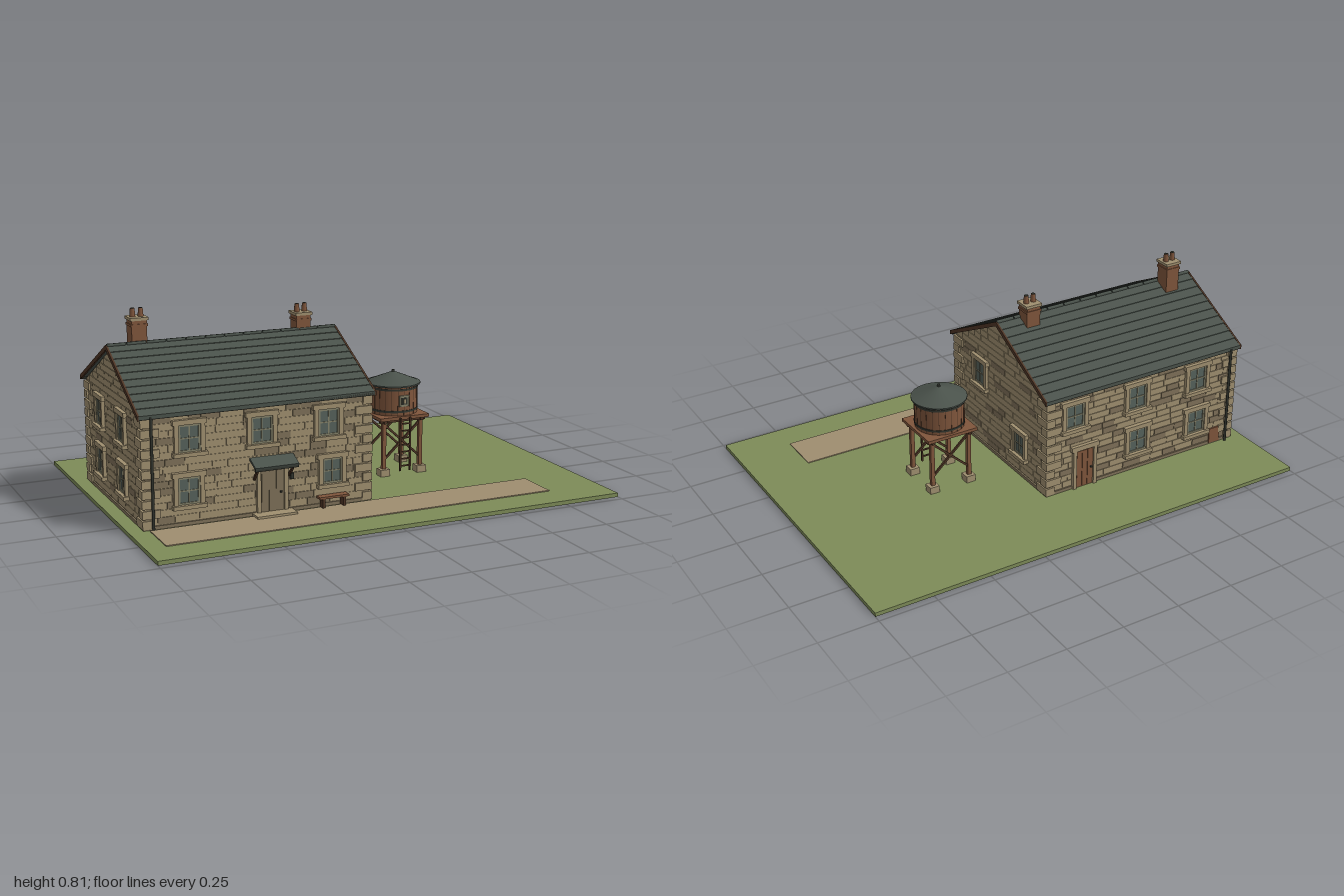
import * as THREE from 'three';

const mat = (name, color) => {
  const m = new THREE.MeshStandardMaterial({ color });
  m.name = name;
  return m;
};

export function createModel() {
  const grass = mat('grass', 0x7d8b58), gravel = mat('gravel', 0x9f8e70);
  const stone = mat('stone', 0xa09070), darkStone = mat('dark stone', 0x7f7159);
  const slate = mat('slate', 0x4a524b), brown = mat('brick and timber', 0x80563c);
  const darkWood = mat('dark wood', 0x4f3626), glass = mat('glass', 0x56625c);
  const iron = mat('iron', 0x33362f), trim = mat('window trim', 0x85826a);

  const root = new THREE.Group();
  const group = (name, parent = root, x = 0, y = 0, z = 0, ry = 0) => {
    const g = new THREE.Group();
    g.name = name;
    g.position.set(x, y, z);
    g.rotation.y = ry;
    parent.add(g);
    return g;
  };
  const add = (parent, name, geo, material, x = 0, y = 0, z = 0) => {
    const m = new THREE.Mesh(geo, material);
    m.name = name;
    m.position.set(x, y, z);
    parent.add(m);
    return m;
  };
  const box = (p, name, m, w, h, d, x, y, z) => add(p, name, new THREE.BoxGeometry(w, h, d), m, x, y, z);
  const cyl = (p, name, m, r1, r2, h, x, y, z, n = 12) =>
    add(p, name, new THREE.CylinderGeometry(r1, r2, h, n), m, x, y, z);
  // square bar between two points
  const bar = (p, name, m, a, b, t) => {
    const A = new THREE.Vector3(...a), B = new THREE.Vector3(...b);
    const o = box(p, name, m, t, A.distanceTo(B), t, 0, 0, 0);
    o.position.copy(A).lerp(B, 0.5);
    o.quaternion.setFromUnitVectors(new THREE.Vector3(0, 1, 0), B.sub(A).normalize());
    return o;
  };
  let seed = 7;
  const rnd = () => (seed = (seed * 16807) % 2147483647) / 2147483647;

  // Ground and path
  const G = 0.017;
  box(root, 'lawn', grass, 2, G, 1.44, 0, G / 2, 0);
  box(root, 'path', gravel, 1.675, 0.004, 0.19, -0.0825, G + 0.002, 0.485);

  // House walls
  const CX = -0.4575, HX = 0.4775, HZ = 0.37, EAVE = 0.465, APEX = 0.66;
  const house = group('house', root, CX);
  // turn a z-y profile into a solid running along x
  const alongX = (pts, len) => new THREE.ExtrudeGeometry(
    new THREE.Shape(pts.map(p => new THREE.Vector2(...p))), { depth: len, bevelEnabled: false })
    .translate(0, 0, -len / 2).rotateY(Math.PI / 2);
  add(house, 'walls', alongX([[-HZ, G], [HZ, G], [HZ, EAVE], [0, APEX], [-HZ, EAVE]], HX * 2), stone);
  box(house, 'plinth', darkStone, HX * 2 + 0.014, 0.014, HZ * 2 + 0.014, 0, G + 0.007, 0);

  // Wall faces: each local +z points outwards
  const front = group('frontWall', house, 0, 0, HZ, 0);
  const back = group('backWall', house, 0, 0, -HZ, Math.PI);
  const left = group('leftGable', house, HX, 0, 0, Math.PI / 2);
  const right = group('rightGable', house, -HX, 0, 0, -Math.PI / 2);

  // Coursed stonework
  const stonework = (face, half, gable) => {
    const h = 0.0285;
    for (let y = 0.034; y + h < (gable ? APEX - 0.03 : EAVE); y += h) {
      const top = y + h;
      const lim = top > EAVE ? half * (APEX - top) / (APEX - EAVE) : half;
      for (let u = -lim + 0.002; u < lim - 0.02;) {
        const w = Math.min(0.05 + rnd() * 0.07, lim - u);
        const dark = rnd() < (gable ? (y > 0.44 ? 0 : 0.13) : 0.3);
        box(face, 'wallStone', dark ? darkStone : stone, w - 0.002, h - 0.002,
          0.006, u + w / 2, y + h / 2, dark ? 0.001 : 0);
        u += w;
      }
    }
  };
  stonework(front, HX, false);
  stonework(back, HX, false);
  stonework(left, HZ, true);
  stonework(right, HZ, true);

  // Quoins on the four corners
  for (const sx of [-1, 1]) for (const sz of [-1, 1]) for (let i = 0; i < 11; i++) {
    const a = i % 2 ? 0.075 : 0.042, b = i % 2 ? 0.042 : 0.075, o = 0.011;
    box(house, 'quoin', stone, a, 0.033, b,
      sx * (HX + o - a / 2), G + 0.022 + i * 0.04, sz * (HZ + o - b / 2));
  }

  // Windows with stone surrounds
  const addWindow = (face, u, y, w = 0.09, h = 0.11) => {
    const g = group('window', face, u, y);
    box(g, 'glass', glass, w, h, 0.016, 0, 0, 0);
    box(g, 'lintel', stone, w + 0.05, 0.02, 0.03, 0, h / 2 + 0.01, 0.004);
    box(g, 'sill', stone, w + 0.05, 0.016, 0.044, 0, -h / 2 - 0.008, 0.005);
    for (const s of [-1, 1]) {
      box(g, 'jamb', stone, 0.018, h, 0.03, s * (w / 2 + 0.009), 0, 0.002);
      box(g, 'frameSide', trim, 0.008, h, 0.024, s * (w / 2 - 0.004), 0, 0);
      box(g, 'frameRail', trim, w, 0.008, 0.024, 0, s * (h / 2 - 0.004), 0);
    }
    box(g, 'mullion', trim, 0.005, h, 0.022, 0, 0, 0);
    box(g, 'glazingBar', trim, w, 0.005, 0.022, 0, 0, 0);
  };
  const UP = 0.367, LOW = 0.158;
  for (const x of [-0.75, -0.45, -0.163]) addWindow(front, x - CX, UP);
  addWindow(front, -0.755 - CX, LOW);
  addWindow(front, -0.147 - CX, 0.165, 0.085, 0.105);
  for (const x of [-0.107, -0.42, -0.735]) addWindow(back, CX - x, UP);
  for (const x of [-0.43, -0.74]) addWindow(back, CX - x, LOW);
  addWindow(left, -0.155, UP, 0.08);
  addWindow(left, 0.167, 0.17, 0.075, 0.1);
  for (const u of [-0.165, 0.13]) {
    addWindow(right, u, UP, 0.075);
    addWindow(right, u, LOW, 0.075);
  }

  // Doors
  const addDoor = (face, u, w, h, leaf) => {
    const g = group('door', face, u, G);
    box(g, 'doorLeaf', leaf, w, h, 0.018, 0, h / 2, 0);
    for (let i = -1; i <= 1; i++) box(g, 'doorPlank', leaf, w / 3.5, h * 0.94, 0.024, i * w / 3.2, h / 2, 0);
    for (const s of [-1, 1]) box(g, 'doorJamb', stone, 0.016, h, 0.034, s * (w / 2 + 0.008), h / 2, 0);
    box(g, 'doorLintel', stone, w + 0.05, 0.022, 0.036, 0, h + 0.011, 0);
    box(g, 'doorHandle', iron, 0.007, 0.007, 0.012, w * 0.36, h * 0.48, 0.014);
    return g;
  };
  const entrance = addDoor(front, -0.408 - CX, 0.1, 0.185, darkStone);
  box(entrance, 'doorstep', stone, 0.17, 0.013, 0.065, 0, 0.0065, 0.033);
  addDoor(back, CX + 0.16, 0.085, 0.18, brown);
  box(back, 'coalHatch', brown, 0.055, 0.07, 0.02, CX + 0.85, G + 0.04, 0);

  // Door canopy on brackets
  const canopy = box(entrance, 'canopyRoof', slate, 0.185, 0.01, 0.075, 0, 0.222, 0.03);
  canopy.rotation.x = 0.4;
  box(entrance, 'canopyFascia', iron, 0.185, 0.014, 0.006, 0, 0.203, 0.06);
  for (const s of [-1, 1]) bar(entrance, 'canopyBracket', darkWood, [s * 0.075, 0.15, 0.005], [s * 0.075, 0.205, 0.052], 0.009);
  // Wall lantern
  box(front, 'lantern', iron, 0.014, 0.024, 0.016, -0.325 - CX, 0.165, 0.012);

  // Bench
  const bench = group('bench', root, -0.152, G, 0.397);
  box(bench, 'benchSeat', brown, 0.13, 0.009, 0.035, 0, 0.046, 0);
  for (const s of [-1, 1]) box(bench, 'benchLeg', darkWood, 0.012, 0.042, 0.03, s * 0.045, 0.021, 0);

  // Roof in stepped slate courses
  const rise = 0.2, half = 0.39, N = 10, side = [];
  for (let i = 0; i < N; i++) {
    const z0 = half * (1 - i / N), z1 = half * (1 - (i + 1) / N);
    side.push([z0, 0.475 + rise * i / N], [z1, 0.4725 + rise * (i + 1) / N]);
  }
  const mirror = side.slice(0, -1).reverse().map(([z, y]) => [-z, y]);
  add(house, 'slateRoof', alongX([[half, 0.461], ...side, ...mirror, [-half, 0.461], [0, 0.661]], 0.99), slate);
  for (const s of [-1, 1]) {
    add(house, 'bargeBoard', alongX([[half, 0.456], [half, 0.475], [0, 0.676], [-half, 0.475],
      [-half, 0.456], [0, 0.656]], 0.008), darkWood, s * 0.497);
    box(house, 'gutter', iron, 0.99, 0.012, 0.012, 0, 0.464, s * 0.384);
    cyl(house, 'downpipe', iron, 0.006, 0.006, 0.45, -0.447, 0.242, s * 0.388, 8);
  }
  for (let i = 0; i < 12; i++) {
    const t = cyl(house, 'ridgeTile', slate, 0.008, 0.008, 0.079, -0.4565 + i * 0.083, 0.673, 0, 6);
    t.rotation.z = Math.PI / 2;
  }

  // Chimneys
  const chimney = (x, z, top) => {
    const g = group('chimney', root, x, 0, z);
    box(g, 'stack', brown, 0.064, top - 0.6, 0.066, 0, (top + 0.6) / 2, 0);
    box(g, 'lowerBand', brown, 0.07, 0.01, 0.072, 0, top - 0.025, 0);
    box(g, 'cap', stone, 0.076, 0.012, 0.076, 0, top, 0);
    for (const s of [-1, 1]) {
      cyl(g, 'pot', brown, 0.0095, 0.012, 0.035, s * 0.017, top + 0.022, 0);
      cyl(g, 'potMouth', iron, 0.008, 0.008, 0.002, s * 0.017, top + 0.04, 0);
    }
  };
  chimney(-0.815, -0.037, 0.768);
  chimney(-0.105, -0.028, 0.736);

  // Water tower
  const tower = group('waterTower', root, 0.318);
  const L = 0.087;
  for (const sx of [-1, 1]) for (const sz of [-1, 1]) {
    box(tower, 'footing', stone, 0.043, 0.03, 0.043, sx * L, G + 0.015, sz * L);
    box(tower, 'leg', brown, 0.017, 0.215, 0.017, sx * L, 0.155, sz * L);
  }
  for (const s of [-1, 1]) {
    box(tower, 'beam', darkWood, 0.215, 0.014, 0.014, 0, 0.256, s * L);
    box(tower, 'sideBeam', darkWood, 0.014, 0.014, 0.215, s * L, 0.256, 0);
    for (const d of [-1, 1])
      bar(tower, 'brace', darkWood, [-d * L, 0.085, s * L], [d * L, 0.245, s * L], 0.009);
  }
  box(tower, 'platform', brown, 0.232, 0.014, 0.232, 0, 0.27, 0);
  cyl(tower, 'tank', brown, 0.105, 0.105, 0.133, 0, 0.343, 0, 24);
  for (const y of [0.295, 0.39]) cyl(tower, 'tankHoop', iron, 0.1075, 0.1075, 0.009, 0, y, 0, 24);
  for (let i = 0; i < 24; i++) {
    const a = i / 24 * Math.PI * 2;
    box(tower, 'staveJoint', darkWood, 0.002, 0.13, 0.002, Math.sin(a) * 0.105, 0.343, Math.cos(a) * 0.105).rotation.y = a;
  }
  cyl(tower, 'tankRoof', slate, 0.006, 0.118, 0.045, 0, 0.429, 0, 24);
  cyl(tower, 'tankRim', slate, 0.118, 0.118, 0.006, 0, 0.405, 0, 24);
  cyl(tower, 'finial', iron, 0.006, 0.008, 0.014, 0, 0.453, 0, 8);
  box(tower, 'gaugePlate', trim, 0.045, 0.048, 0.008, 0, 0.342, 0.105);
  box(tower, 'gaugeFace', iron, 0.028, 0.03, 0.008, 0, 0.342, 0.107);
  box(tower, 'gaugeNeedle', stone, 0.01, 0.018, 0.008, 0, 0.342, 0.109);

  // Ladder
  for (const s of [-1, 1]) box(tower, 'ladderRail', darkWood, 0.007, 0.235, 0.007, s * 0.023, 0.155, 0.12);
  for (let i = 0; i < 7; i++) box(tower, 'ladderRung', darkWood, 0.046, 0.006, 0.006, 0, 0.06 + i * 0.031, 0.12);

  return root;
}
